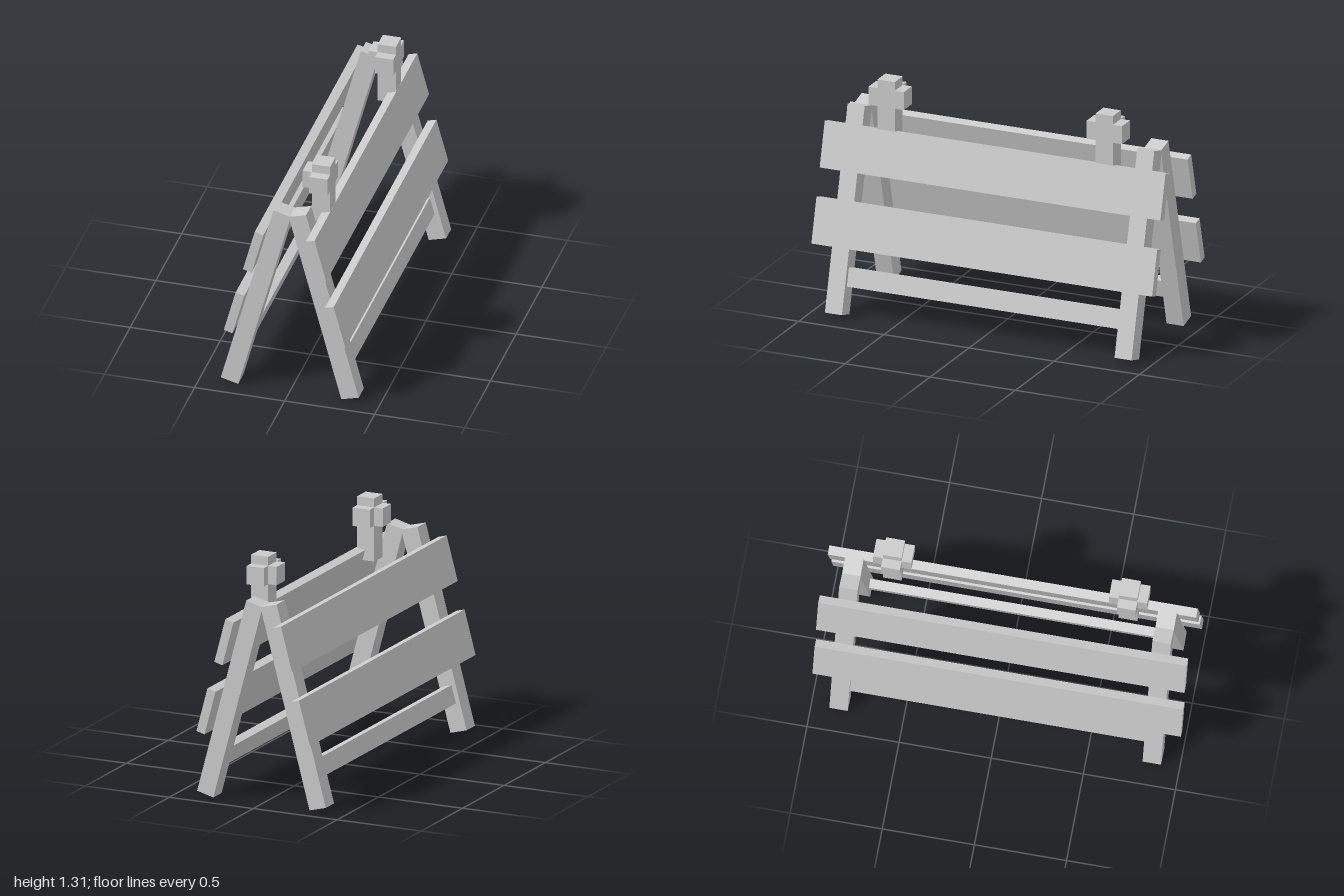
import * as THREE from 'three';

const material = new THREE.MeshStandardMaterial({ color: 0xcccccc, flatShading: true });
const TILT = THREE.MathUtils.degToRad(15);

function box(parent, name, size, position) {
  const mesh = new THREE.Mesh(new THREE.BoxGeometry(...size), material);
  mesh.name = name;
  mesh.position.set(...position);
  parent.add(mesh);
}

// One leaning side of the A-frame; side is +1 for +x and -1 for -x
function makePanel(side) {
  const panel = new THREE.Group();
  panel.name = side > 0 ? 'leftPanel' : 'rightPanel';
  panel.position.set(side * 0.1885, 0.559, 0);
  panel.rotation.z = side * TILT;
  for (const z of [-0.85, 0.85]) box(panel, 'leg', [0.1, 1.13, 0.1], [0, 0, z]);
  box(panel, 'upperBoard', [0.05, 0.253, 2], [side * 0.075, 0.334, 0]);
  box(panel, 'lowerBoard', [0.05, 0.253, 2], [side * 0.075, -0.077, 0]);
  box(panel, 'crossbar', [0.05, 0.102, 1.6], [0, -0.361, 0]);
  return panel;
}

// Warning lamp: upright post, side arms and an inward-facing block
function makeLamp(z) {
  const lamp = new THREE.Group();
  lamp.name = 'warningLamp';
  lamp.position.set(0.114, 0, z);
  box(lamp, 'lampPost', [0.102, 0.35, 0.102], [0, 1.135, 0]);
  for (const s of [-1, 1]) box(lamp, 'lampArm', [0.102, 0.102, 0.053], [0, 1.21, s * 0.0775]);
  box(lamp, 'lampFace', [0.051, 0.102, 0.102], [-0.0765, 1.21, 0]);
  return lamp;
}

export function createModel() {
  const barrier = new THREE.Group();
  barrier.name = 'roadBarrier';
  for (const side of [-1, 1]) barrier.add(makePanel(side));
  for (const z of [-0.64, 0.64]) barrier.add(makeLamp(z));
  return barrier;
}
